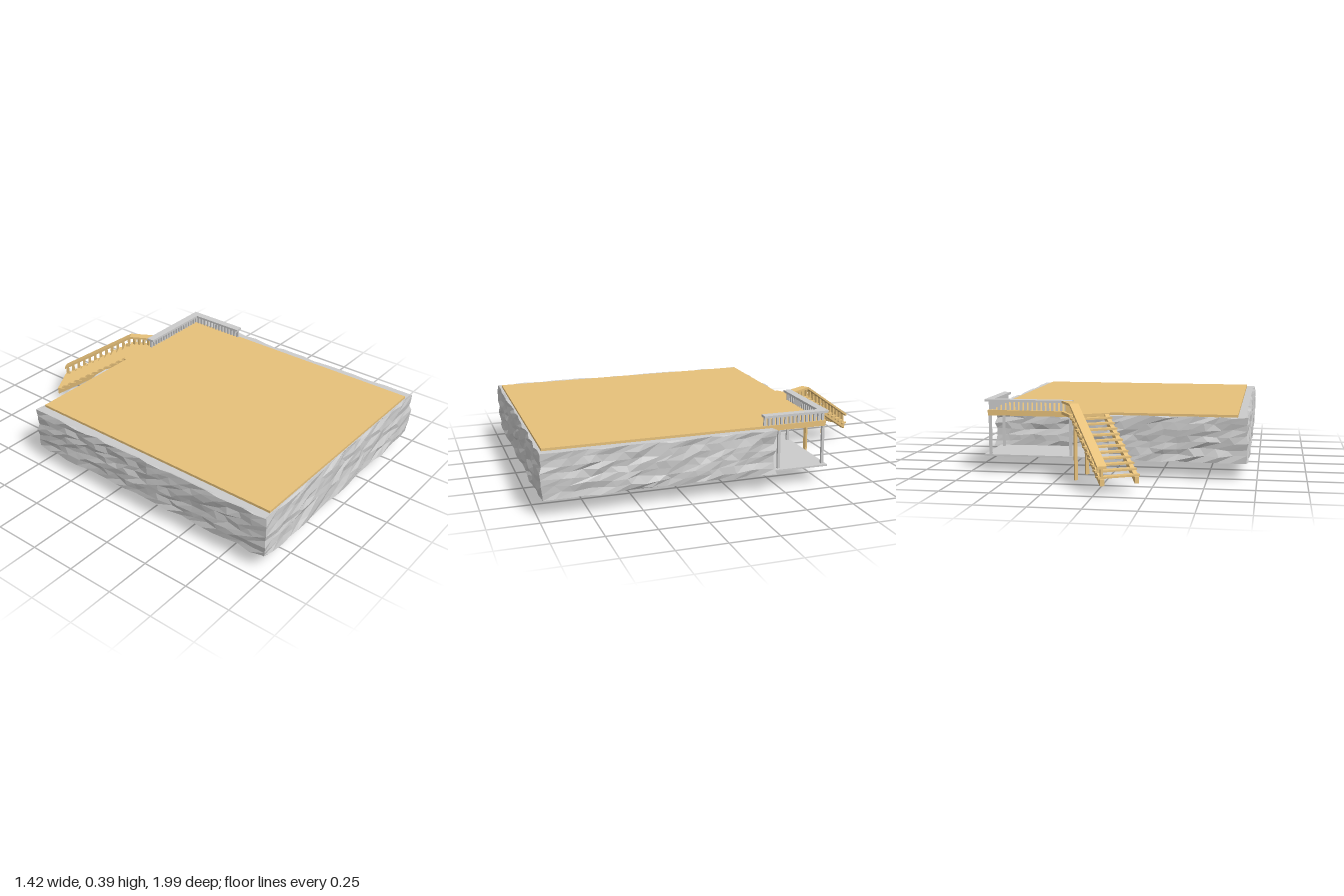
import * as THREE from 'three';

const grey = new THREE.MeshStandardMaterial({ color: 0xcccccc, flatShading: true });
const tan = new THREE.MeshStandardMaterial({ color: 0xe6c07a, flatShading: true });

// footprint of the stone base (x, z), with a notch at the back left corner
const footprint = [[-0.69, 0.97], [0.69, 0.97], [0.69, -0.2], [0, -0.2], [0, -0.52], [-0.69, -0.52]];

let seed = 7;
const rand = () => (seed = (seed * 16807) % 2147483647) / 2147483647;

function add(parent, name, geometry, material, x = 0, y = 0, z = 0) {
  const mesh = new THREE.Mesh(geometry, material);
  mesh.name = name;
  mesh.position.set(x, y, z);
  parent.add(mesh);
  return mesh;
}

// box given by its limits
function box(parent, name, material, x0, x1, y0, y1, z0, z1) {
  return add(parent, name, new THREE.BoxGeometry(x1 - x0, y1 - y0, z1 - z0), material,
    (x0 + x1) / 2, (y0 + y1) / 2, (z0 + z1) / 2);
}

// flat plate from a plan outline of [x, z] points
function plate(parent, name, material, points, y0, y1) {
  const shape = new THREE.Shape(points.map(([x, z]) => new THREE.Vector2(x, -z)));
  const geometry = new THREE.ExtrudeGeometry(shape, { depth: y1 - y0, bevelEnabled: false });
  geometry.rotateX(-Math.PI / 2);
  return add(parent, name, geometry, material, 0, y0, 0);
}

// rough stone skin: columns run round the footprint, rows rise up the wall
function stoneSkin(y0, y1, rows) {
  const columns = [];
  const count = footprint.length;
  const edgeDir = (i) => {
    const a = footprint[(i + count) % count], b = footprint[(i + 1) % count];
    return new THREE.Vector2(b[0] - a[0], b[1] - a[1]);
  };
  for (let i = 0; i < count; i++) {
    const edge = edgeDir(i), previous = edgeDir(i - 1).normalize();
    const n = Math.round(edge.length() / 0.07);
    const dir = edge.clone().normalize();
    for (let k = 0; k < n; k++) {
      const normal = new THREE.Vector2(-dir.y, dir.x);
      if (k === 0) normal.add(new THREE.Vector2(-previous.y, previous.x));
      const px = footprint[i][0] + edge.x * k / n, pz = footprint[i][1] + edge.y * k / n;
      const column = [[px, y0, pz]];
      for (let r = 0; r <= rows; r++) {
        const out = 0.003 + 0.017 * rand();
        const slide = k === 0 ? 0 : (rand() - 0.5) * 0.02 + (r % 2 ? 0.012 : -0.012);
        const lift = (rand() - 0.5) * 0.014;
        column.push([px + normal.x * out + dir.x * slide, y0 + (y1 - y0) * r / rows + lift,
          pz + normal.y * out + dir.y * slide]);
      }
      column.push([px, y1, pz]);
      columns.push(column);
    }
  }
  const positions = [];
  columns.forEach((column, i) => {
    const next = columns[(i + 1) % columns.length];
    for (let r = 0; r < column.length - 1; r++) {
      const a = column[r], b = next[r], c = next[r + 1], d = column[r + 1];
      positions.push(...a, ...b, ...c, ...a, ...c, ...d);
    }
  });
  const geometry = new THREE.BufferGeometry();
  geometry.setAttribute('position', new THREE.Float32BufferAttribute(positions, 3));
  geometry.computeVertexNormals();
  return geometry;
}

// sunken basin under the base, narrowing downward
function basinGeometry() {
  const geometry = new THREE.BoxGeometry(1, 1, 1);
  const p = geometry.attributes.position;
  for (let i = 0; i < p.count; i++) {
    const low = p.getY(i) < 0;
    const x = p.getX(i) < 0 ? (low ? -0.6 : -0.63) : (low ? -0.07 : 0);
    const z = p.getZ(i) < 0 ? (low ? 0.445 : 0.405) : (low ? 0.84 : 0.88);
    p.setXYZ(i, x, low ? 0.053 : 0.092, z);
  }
  geometry.computeVertexNormals();
  return geometry;
}

// sloping beam in the stair's own frame: length runs along -z
function slopedBeam(parent, name, w0, w1, yTop, height, run, slope) {
  const shape = new THREE.Shape([
    new THREE.Vector2(0, yTop - height), new THREE.Vector2(run, yTop - height - slope * run),
    new THREE.Vector2(run, yTop - slope * run), new THREE.Vector2(0, yTop)]);
  const geometry = new THREE.ExtrudeGeometry(shape, { depth: w1 - w0, bevelEnabled: false });
  geometry.rotateY(Math.PI / 2);
  return add(parent, name, geometry, tan, w0, 0, 0);
}

function createStairs() {
  const stairs = new THREE.Group();
  stairs.name = 'stairs';
  stairs.position.set(0, 0, -0.53);
  stairs.rotation.y = Math.PI / 6;
  const run = 0.42, slope = 0.583, width = 0.212, steps = 11;

  for (const w of [0.005, 0.18]) slopedBeam(stairs, 'stringer', w, w + 0.022, 0.325, 0.032, run, slope);
  for (let i = 0; i < steps; i++) {
    const s = run * i / steps, y = 0.33 - slope * run * (i + 0.7) / steps;
    box(stairs, 'tread', tan, 0, width, y - 0.009, y, -s - run / steps, -s);
  }
  // outer handrail with balusters
  slopedBeam(stairs, 'handrail', 0.168, width + 0.003, 0.387, 0.013, run, slope);
  for (let i = 0; i < 12; i++) {
    const s = 0.01 + i * 0.0362, y = 0.378 - slope * s;
    box(stairs, 'stairBaluster', tan, 0.184, 0.198, y - 0.07, y, -s - 0.007, -s + 0.007);
  }
  // supports down to the ground
  box(stairs, 'stairPost', tan, 0.182, 0.198, 0, 0.33, -0.028, -0.012);
  box(stairs, 'stairPost', tan, 0.182, 0.198, 0.065, 0.2, -0.208, -0.192);
  return stairs;
}

export function createModel() {
  const model = new THREE.Group();
  model.name = 'deckOnStoneBase';

  // stone base
  plate(model, 'stoneCore', grey, footprint, 0.09, 0.318);
  add(model, 'stoneWall', stoneSkin(0.09, 0.318, 7), grey);
  add(model, 'basin', basinGeometry(), grey);
  box(model, 'porchSlab', grey, -0.01, 0.67, 0.088, 0.097, -0.52, -0.19);

  // deck and landing
  box(model, 'deck', tan, -0.65, 0.65, 0.316, 0.331, -0.515, 0.965);
  plate(model, 'landing', tan, [[0, -0.53], [0, -0.51], [0.253, -0.51], [0.253, -0.52], [0.186, -0.637]], 0.316, 0.331);
  box(model, 'backBeam', tan, 0.005, 0.65, 0.302, 0.317, -0.512, -0.495);
  box(model, 'sideBeam', tan, 0.633, 0.65, 0.302, 0.317, -0.512, -0.2);

  // porch posts
  for (const [x, z] of [[0.21, -0.503], [0.64, -0.503], [0.64, -0.255]]) {
    box(model, 'porchPost', grey, x - 0.007, x + 0.007, 0.09, 0.318, z - 0.007, z + 0.007);
  }

  // porch railing round the corner
  plate(model, 'railCap', grey,
    [[0.2, -0.52], [0.665, -0.52], [0.665, -0.165], [0.622, -0.165], [0.622, -0.477], [0.2, -0.477]], 0.375, 0.387);
  const baluster = (x, z) => box(model, 'baluster', grey, x - 0.006, x + 0.006, 0.33, 0.376, z - 0.006, z + 0.006);
  for (let i = 0; i < 19; i++) baluster(0.212 + i * 0.0238, -0.499);
  for (let i = 1; i < 15; i++) baluster(0.642, -0.499 + i * 0.0232);

  // landing railing
  plate(model, 'landingRail', tan, [[0.2, -0.52], [0.253, -0.52], [0.186, -0.637], [0.147, -0.615]], 0.375, 0.387);
  for (let i = 0; i < 4; i++) {
    const x = 0.222 - i * 0.0145, z = -0.53 - i * 0.025;
    box(model, 'landingBaluster', tan, x - 0.007, x + 0.007, 0.33, 0.376, z - 0.007, z + 0.007);
  }

  model.add(createStairs());
  return model;
}
